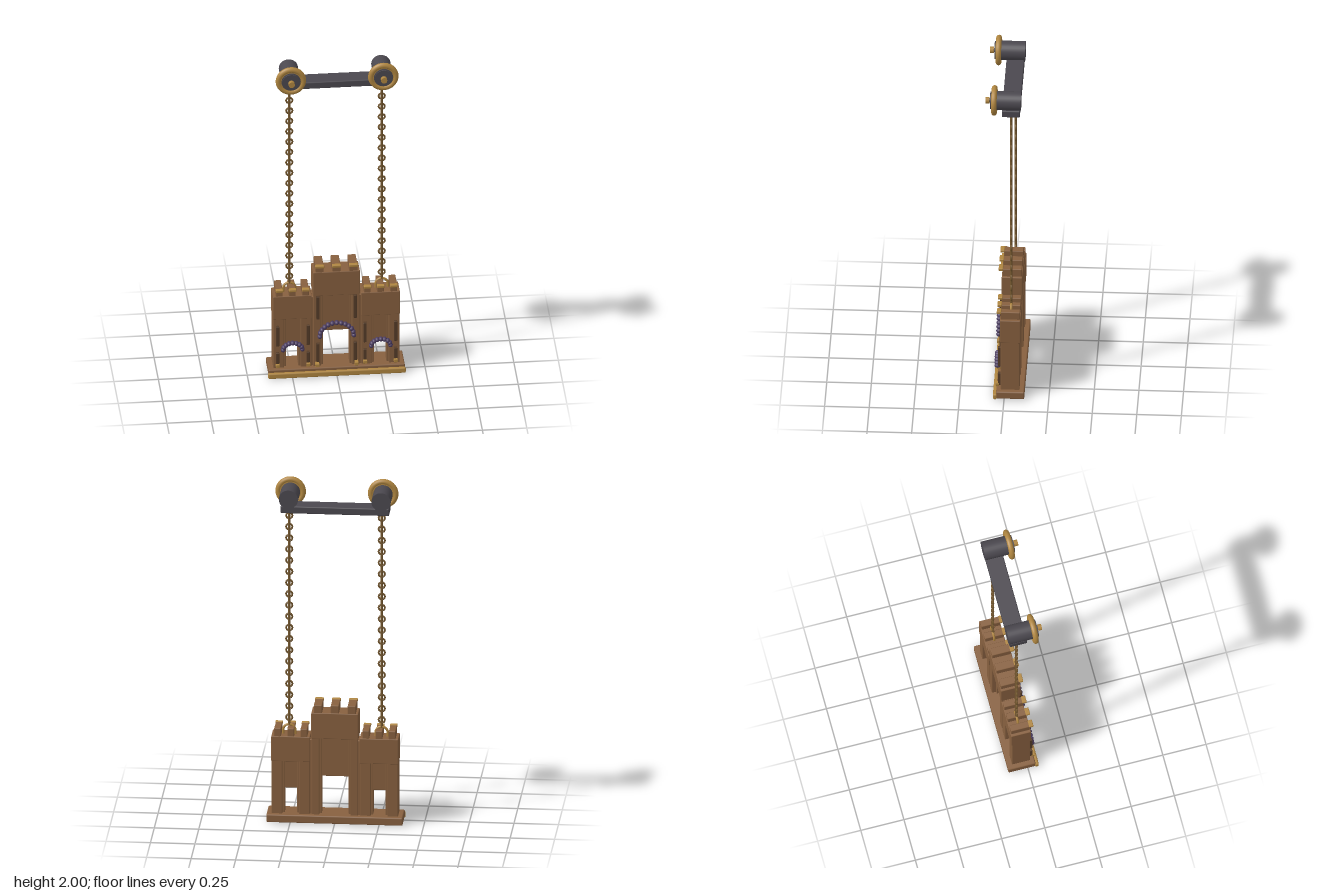
import * as THREE from 'three';
import { RoundedBoxGeometry } from 'three/addons/geometries/RoundedBoxGeometry.js';

const mat = (name, color) => {
  const m = new THREE.MeshStandardMaterial({ color });
  m.name = name;
  return m;
};

export function createModel() {
  const model = new THREE.Group();
  model.name = 'hangingCastle';
  const wood = mat('brown wood', 0x87603f);
  const darkWood = mat('dark brown', 0x553c28);
  const gold = mat('old gold', 0xb08640);
  const bronze = mat('chain bronze', 0x765930);
  const iron = mat('dark iron', 0x4b484f);
  const purple = mat('dusky purple', 0x4c3d62);

  const add = (name, geometry, material, x = 0, y = 0, z = 0) => {
    const mesh = new THREE.Mesh(geometry, material);
    mesh.name = name;
    mesh.position.set(x, y, z);
    model.add(mesh);
    return mesh;
  };
  // Softly bevelled box given by its limits
  const box = (name, m, x0, x1, y0, y1, z0, z1, r = 0.004) =>
    add(name, new RoundedBoxGeometry(x1 - x0, y1 - y0, z1 - z0, 1, r), m,
      (x0 + x1) / 2, (y0 + y1) / 2, (z0 + z1) / 2);
  // Cylinder along z
  const rod = (name, m, r, x, y, z0, z1, sides = 32) => {
    const g = new THREE.CylinderGeometry(r, r, z1 - z0, sides).rotateX(Math.PI / 2);
    return add(name, g, m, x, y, (z0 + z1) / 2);
  };

  // Base slab with gold front moulding
  box('base', wood, -0.383, 0.383, 0.004, 0.05, -0.113, 0.045, 0.007);
  box('baseMoulding', gold, -0.387, 0.387, 0, 0.034, 0.04, 0.063, 0.008);

  // Gate tower: two pillars, recessed panel, head block and crenellations
  function tower(cx, half, open, openTop, headBottom, top, capWidth, spread) {
    for (const s of [-1, 1]) {
      const a = cx + s * open, b = cx + s * half;
      box('pillar', wood, Math.min(a, b), Math.max(a, b), 0.045, headBottom + 0.01, -0.085, 0.02);
      // Slender jamb set back behind each pillar edge
      const j = cx + s * (open - 0.004);
      box('jamb', wood, j - 0.008, j + 0.008, 0.045, headBottom + 0.01, -0.06, 0.005, 0.002);
    }
    box('recessedPanel', wood, cx - open - 0.01, cx + open + 0.01, openTop, headBottom + 0.01, -0.045, 0.002);
    box('towerHead', wood, cx - half - 0.002, cx + half + 0.002, headBottom, top, -0.09, 0.025);
    for (const i of [-1, 0, 1]) {
      const x = cx + i * spread, w = capWidth / 2;
      box('merlon', wood, x - w + 0.002, x + w - 0.002, top - 0.005, top + 0.046, -0.087, 0.022);
      box('merlonCap', gold, x - w, x + w, top + 0.034, top + 0.05, 0.018, 0.043);
    }
  }
  tower(0, 0.13, 0.087, 0.265, 0.5, 0.652, 0.05, 0.095);

  // Arch of purple beads above an opening
  function beadArch(cx, cy, rx, ry, count) {
    for (let i = 0; i < count; i++) {
      const a = Math.PI * i / (count - 1);
      const bead = add('archBead', new THREE.SphereGeometry(0.0135, 12, 8), purple,
        cx + rx * Math.cos(a), cy + ry * Math.sin(a), 0.04);
      bead.scale.z = 1.35;
    }
  }
  beadArch(0, 0.25, 0.096, 0.083, 13);

  const chainZ = -0.035;
  for (const s of [-1, 1]) {
    const cx = s * 0.248;
    tower(cx, 0.107, 0.047, 0.19, 0.36, 0.508, 0.042, 0.074);
    beadArch(cx, 0.175, 0.054, 0.04, 9);

    // Web wall joining side tower to centre tower
    const w0 = s * 0.12, w1 = s * 0.15;
    box('webWall', wood, Math.min(w0, w1), Math.max(w0, w1), 0.045, 0.49, -0.075, 0.01);

    // Raised dark strips, low strips and gold studs on the pillar fronts
    const strips = [[0.105, 0.355, 0.5], [0.105, 0.14, 0.2], [0.16, 0.195, 0.32], [0.332, 0.195, 0.32],
      [0.105, 0.07, 0.15], [0.16, 0.07, 0.15], [0.332, 0.07, 0.15]];
    for (const [x, y0, y1] of strips) {
      box('pillarStrip', darkWood, s * x - 0.009, s * x + 0.009, y0, y1, 0.015, 0.037, 0.003);
    }
    for (const x of [0.11, 0.16, 0.332]) {
      box('goldStud', gold, s * x - 0.011, s * x + 0.011, 0.064, 0.084, 0.03, x < 0.12 ? 0.063 : 0.05, 0.003);
    }

    // Hanging shackle and chain
    const px = s * 0.26;
    add('shackle', new THREE.TorusGeometry(0.034, 0.007, 8, 24, Math.PI), gold, px, 0.53, chainZ);
    for (const e of [-1, 1]) {
      add('shackleLeg', new THREE.CylinderGeometry(0.007, 0.007, 0.03, 8), gold, px + e * 0.034, 0.516, chainZ);
    }
    add('chainCore', new THREE.CylinderGeometry(0.0075, 0.0075, 1.28, 8), bronze, px, 1.2, chainZ);
    const link = new THREE.TorusGeometry(0.0175, 0.0055, 6, 14);
    for (let i = 0; i < 19; i++) {
      add('chainLink', link, bronze, px, 0.605 + i * 0.0665, chainZ);
    }

    // Winch drum with gold flange and spindle
    const py = 1.914;
    rod('drum', iron, 0.054, px, py, -0.09, 0.075);
    rod('drumFace', iron, 0.05, px, py, 0.07, 0.083);
    rod('flange', gold, 0.07, px, py, 0.048, 0.07);
    add('flangeRim', new THREE.TorusGeometry(0.07, 0.016, 12, 40), gold, px, py, 0.06);
    rod('spindleNeck', iron, 0.012, px, py, 0.08, 0.09, 12);
    rod('spindle', gold, 0.018, px, py, 0.088, 0.11, 12);
  }

  // Beam carrying both drums
  box('beam', iron, -0.305, 0.305, 1.83, 1.872, -0.085, 0.016, 0.006);

  return model;
}
